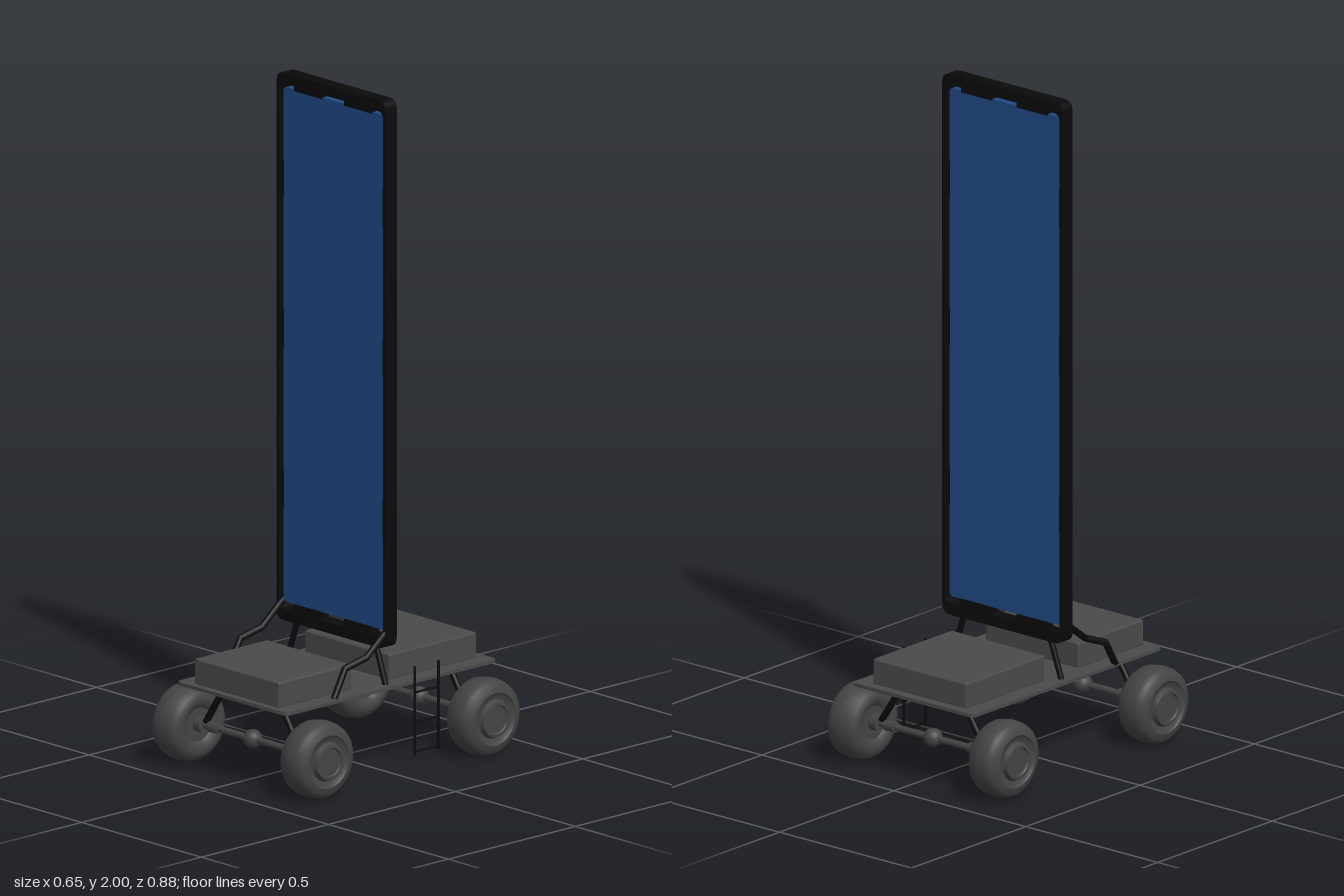
import * as THREE from 'three';
import { RoundedBoxGeometry } from 'three/addons/geometries/RoundedBoxGeometry.js';
import { toCreasedNormals } from 'three/addons/utils/BufferGeometryUtils.js';

const mat = (name, color) => new THREE.MeshStandardMaterial({ name, color });

export function createModel() {
  const root = new THREE.Group();
  root.name = 'mobileBillboard';
  const grey = mat('bodyGrey', 0x4a4a4a);
  const rubber = mat('wheelGrey', 0x444444);
  const black = mat('frameBlack', 0x0a0a0a);
  const blue = mat('panelBlue', 0x204a87);

  const add = (name, geo, material, x = 0, y = 0, z = 0, parent = root) => {
    const m = new THREE.Mesh(geo, material);
    m.name = name;
    m.position.set(x, y, z);
    parent.add(m);
    return m;
  };

  // Straight round bar between two points
  const bar = (name, a, b, r, material, parent = root) => {
    const p = new THREE.Vector3(...a), q = new THREE.Vector3(...b);
    const d = q.clone().sub(p);
    const m = add(name, new THREE.CylinderGeometry(r, r, d.length(), 12), material, 0, 0, 0, parent);
    m.position.copy(p).add(q).multiplyScalar(0.5);
    m.quaternion.setFromUnitVectors(new THREE.Vector3(0, 1, 0), d.normalize());
    return m;
  };

  // Rounded rectangle outline
  const roundRect = (T, x0, y0, x1, y1, r) => {
    const s = new T();
    s.moveTo(x0 + r, y0);
    s.lineTo(x1 - r, y0);
    s.quadraticCurveTo(x1, y0, x1, y0 + r);
    s.lineTo(x1, y1 - r);
    s.quadraticCurveTo(x1, y1, x1 - r, y1);
    s.lineTo(x0 + r, y1);
    s.quadraticCurveTo(x0, y1, x0, y1 - r);
    s.lineTo(x0, y0 + r);
    s.quadraticCurveTo(x0, y0, x0 + r, y0);
    return s;
  };
  const slab = (shape, depth) => toCreasedNormals(
    new THREE.ExtrudeGeometry(shape, { depth, bevelEnabled: false, curveSegments: 6 }), 0.6);

  // Flat deck
  const deck = slab(roundRect(THREE.Shape, -0.23, -0.415, 0.23, 0.415, 0.018), 0.01);
  deck.rotateX(-Math.PI / 2);
  add('deck', deck, grey, 0, 0.248, -0.004);

  // Boxes on the deck
  for (const [name, z0, z1] of [['rearBox', -0.388, -0.043], ['frontBox', 0.104, 0.39]])
    add(name, new RoundedBoxGeometry(0.354, 0.078, z1 - z0, 2, 0.006), grey, 0, 0.294, (z0 + z1) / 2);

  // Display frame and blue panel
  const frame = roundRect(THREE.Shape, -0.228, 0.37, 0.228, 2, 0.03);
  frame.holes.push(roundRect(THREE.Path, -0.217, 0.402, 0.217, 1.968, 0.025));
  add('displayFrame', slab(frame, 0.044), black, 0, 0, -0.025);
  add('displayPanel', slab(roundRect(THREE.Shape, -0.21, 0.422, 0.21, 1.955, 0.015), 0.022), blue, 0, 0, -0.014);

  // Spacers joining panel and frame
  for (const s of [-1, 1]) {
    for (const y of [0.757, 1.235, 1.68])
      add('sideSpacer', new THREE.BoxGeometry(0.016, 0.112, 0.03), black, s * 0.216, y, -0.003);
    for (const y of [0.412, 1.962])
      add('endSpacer', new THREE.BoxGeometry(0.115, 0.022, 0.03), black, s * 0.105, y, -0.003);
  }

  // Kinked front braces, the same bend on both sides
  for (const [name, x] of [['rightBrace', -0.221], ['leftBrace', 0.217]]) {
    const pts = [[0, 0.425, 0], [0.007, 0.36, 0.09], [-0.014, 0.335, 0.155], [-0.004, 0.257, 0.208]]
      .map(p => new THREE.Vector3(p[0] + x, p[1], p[2]));
    for (let i = 0; i < 3; i++) bar(name, pts[i].toArray(), pts[i + 1].toArray(), 0.01, black);
    for (const p of pts.slice(1, 3)) add(name + 'Joint', new THREE.SphereGeometry(0.01, 12, 8), black, p.x, p.y, p.z);
  }
  for (const s of [-1, 1])
    bar('framePost', [s * 0.16, 0.38, -0.003], [s * 0.205, 0.254, -0.003], 0.009, black);

  // Tyre and rim profile: [radius, distance along the axle, outward]
  const tyre = [[0.05, -0.04], [0.062, -0.05], [0.08, -0.053], [0.098, -0.046], [0.108, -0.032],
    [0.114, 0], [0.112, 0.025], [0.107, 0.04], [0.096, 0.05], [0.078, 0.054], [0.073, 0.048], [0.056, 0.046]];
  const hub = [[0, -0.04], [0.056, -0.04], [0.058, 0.046], [0.052, 0.06], [0.043, 0.061], [0.04, 0.056], [0, 0.056]];
  const lathe = (pts, crease) => toCreasedNormals(
    new THREE.LatheGeometry(pts.map(p => new THREE.Vector2(...p)), 40), crease);
  const tyreGeo = lathe(tyre, 0.9), hubGeo = lathe(hub, 0.5);

  // Axles with wheels and struts
  for (const z of [-0.328, 0.327]) {
    const axle = new THREE.Group();
    axle.name = z > 0 ? 'frontAxle' : 'rearAxle';
    axle.position.set(0, 0.118, z);
    root.add(axle);
    bar('axleTube', [-0.23, 0, 0], [0.23, 0, 0], 0.01, rubber, axle);
    add('differential', new THREE.SphereGeometry(0.028, 20, 14), rubber, 0, 0, 0, axle);
    for (const s of [-1, 1]) {
      const wheel = new THREE.Group();
      wheel.name = s > 0 ? 'leftWheel' : 'rightWheel';
      wheel.position.set(s * 0.266, -0.004, 0);
      wheel.rotation.z = -s * Math.PI / 2;
      axle.add(wheel);
      add('tyre', tyreGeo, rubber, 0, 0, 0, wheel);
      add('hub', hubGeo, rubber, 0, 0, 0, wheel);
      bar('axleSleeve', [s * 0.14, 0, 0], [s * 0.178, 0, 0], 0.016, rubber, axle);
      bar('hubCarrier', [s * 0.2, 0, 0], [s * 0.235, 0, 0], 0.024, rubber, axle);
      bar('strut', [s * 0.195, 0.01, 0], [s * 0.115, 0.132, 0], 0.01, black, axle);
    }
  }

  // Side ladder
  const ladder = new THREE.Group();
  ladder.name = 'ladder';
  root.add(ladder);
  for (const z of [-0.082, -0.176])
    bar('ladderRail', [0.242, 0.04, z], [0.242, 0.303, z], 0.004, black, ladder);
  for (const y of [0.05, 0.138, 0.226])
    bar('ladderRung', [0.242, y, -0.082], [0.242, y, -0.176], 0.0035, black, ladder);

  return root;
}
